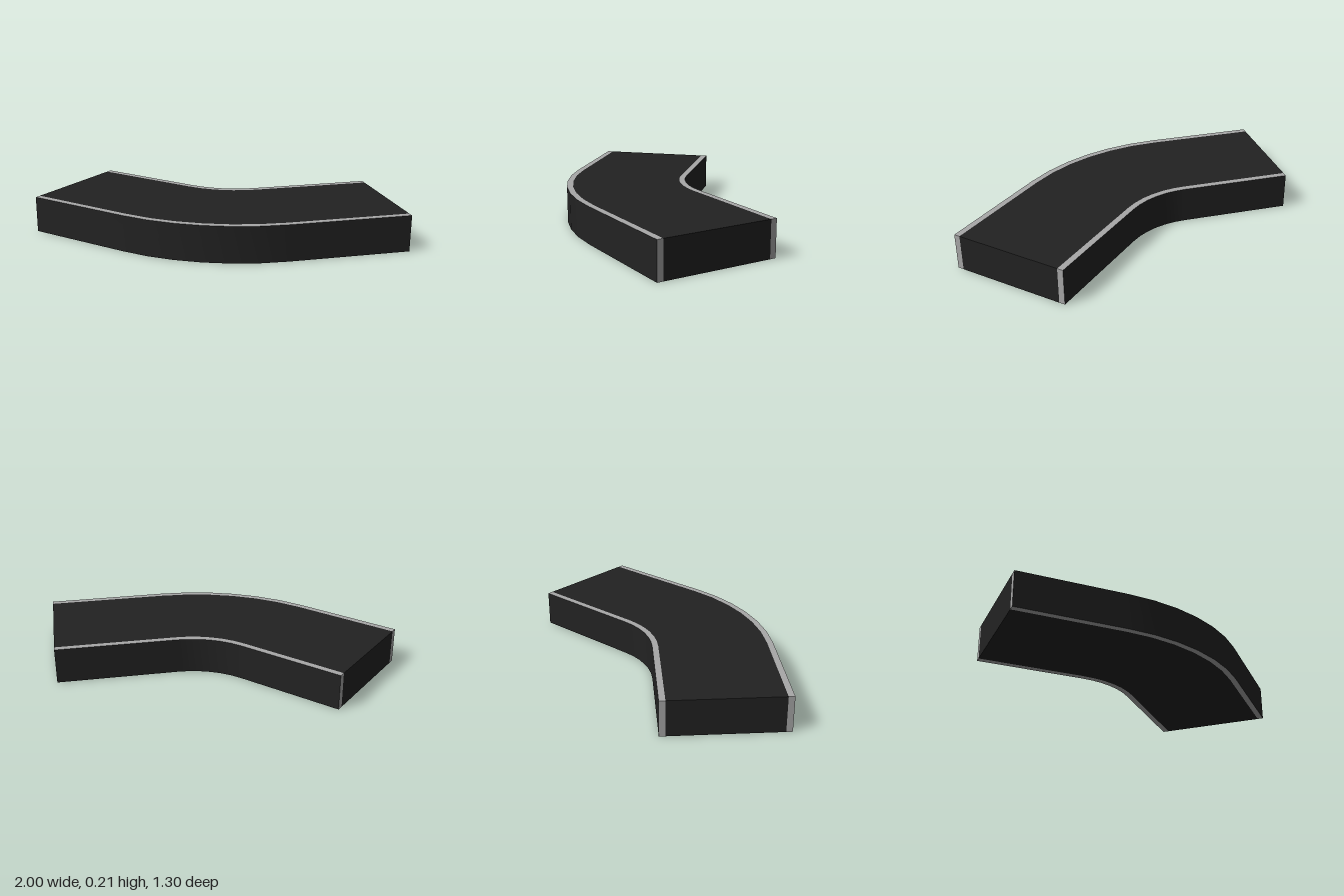
import * as THREE from 'three';
import { mergeGeometries } from 'three/addons/utils/BufferGeometryUtils.js';

const HEIGHT = 0.21, CENTRE_X = 0.3, CENTRE_Z = -0.55;
const INNER = 0.5, OUTER = 1.2, RAIL = 0.035;
const ARM = 0.7, END_ARM = 0.638, BEND = Math.PI / 4, STEPS = 6;

// Stations along the bend: turn angle, and straight distance beyond the arc
const stations = [[0, -ARM]];
for (let i = 0; i <= STEPS; i++) stations.push([BEND * i / STEPS, 0]);
stations.push([BEND, END_ARM]);

// Point at a station for a given radius and height
function point([angle, run], [radius, y]) {
  return [
    CENTRE_X - Math.sin(angle) * radius - Math.cos(angle) * run,
    y,
    CENTRE_Z + Math.cos(angle) * radius - Math.sin(angle) * run,
  ];
}

function makeGeometry(positions, index) {
  const geometry = new THREE.BufferGeometry();
  geometry.setAttribute('position', new THREE.Float32BufferAttribute(positions, 3));
  geometry.setIndex(index);
  geometry.computeVertexNormals();
  return geometry;
}

// Smooth strip swept between two corners of the cross-section
function strip(a, b) {
  const positions = [], index = [];
  stations.forEach((s, i) => {
    positions.push(...point(s, a), ...point(s, b));
    const k = i * 2;
    if (i < stations.length - 1) index.push(k, k + 2, k + 1, k + 1, k + 2, k + 3);
  });
  return makeGeometry(positions, index);
}

// Flat end face of a band
function cap(station, corners) {
  return makeGeometry(corners.flatMap((c) => point(station, c)), [0, 1, 2, 0, 2, 3]);
}

// Top, bottom and both ends of a band between two radii
function band(r0, r1) {
  const corners = [[r0, HEIGHT], [r1, HEIGHT], [r1, 0], [r0, 0]];
  return mergeGeometries([
    strip(corners[0], corners[1]),
    strip(corners[2], corners[3]),
    cap(stations[0], corners),
    cap(stations[stations.length - 1], [...corners].reverse()),
  ]);
}

export function createModel() {
  const group = new THREE.Group();
  group.name = 'curvedTrack';
  const dark = new THREE.MeshStandardMaterial({ color: 0x222222 });
  dark.name = 'charcoal';
  const grey = new THREE.MeshStandardMaterial({ color: 0xa8a8a8 });
  grey.name = 'lightGrey';

  const add = (name, geometry, material) => {
    const mesh = new THREE.Mesh(geometry, material);
    mesh.name = name;
    group.add(mesh);
  };

  // Dark deck between two grey edge rails
  add('deck', band(INNER + RAIL, OUTER - RAIL), dark);
  add('innerRail', band(INNER, INNER + RAIL), grey);
  add('outerRail', band(OUTER - RAIL, OUTER), grey);

  // Dark outward faces of the rails
  add('innerSide', strip([INNER, 0], [INNER, HEIGHT]), dark);
  add('outerSide', strip([OUTER, HEIGHT], [OUTER, 0]), dark);
  return group;
}
